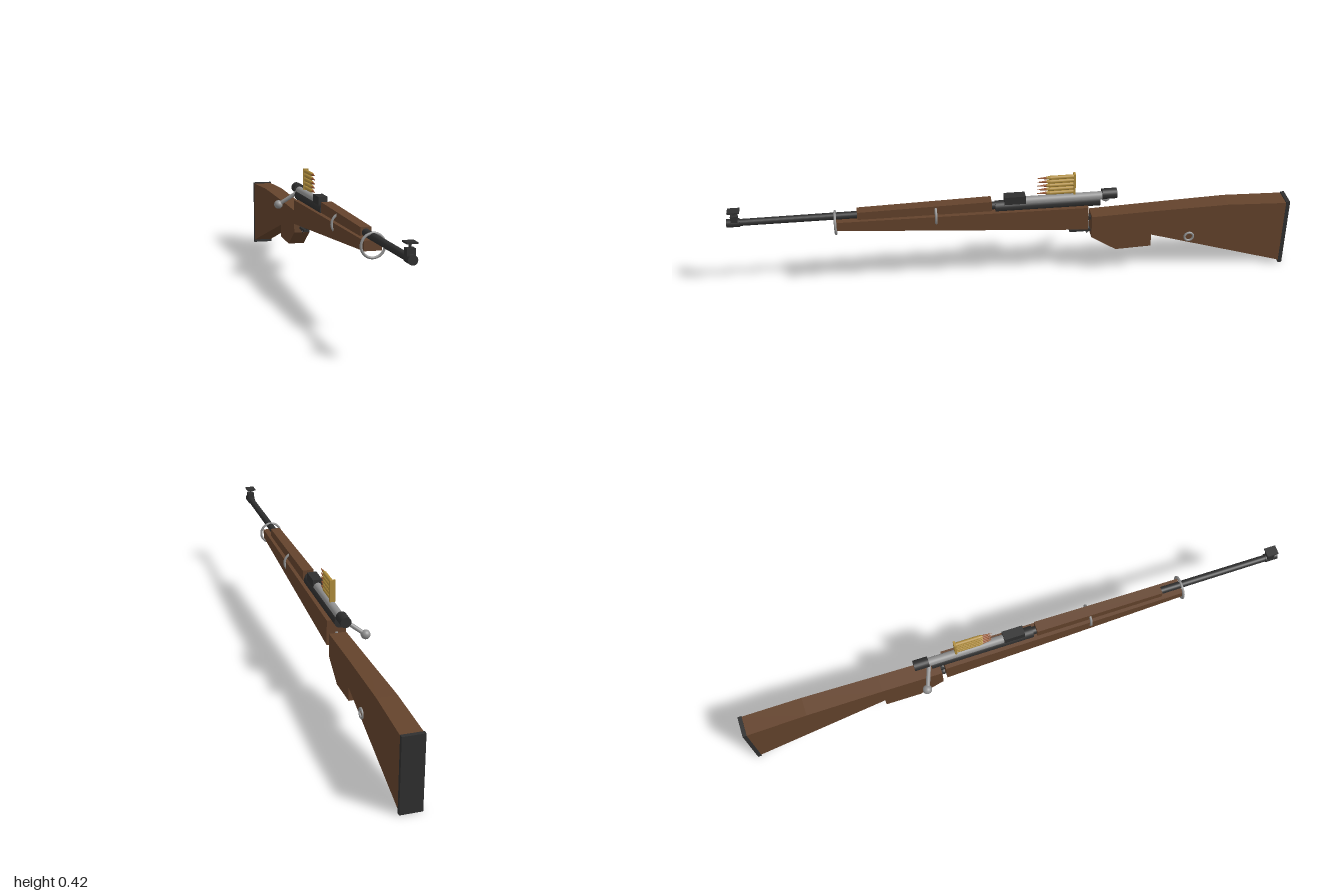
import * as THREE from 'three';

const CX = 0.023; // centre line of the whole body

export function createModel() {
  const model = new THREE.Group();
  model.name = 'boltActionRifle';

  const mat = (name, color) => {
    const m = new THREE.MeshStandardMaterial({ color });
    m.name = name;
    return m;
  };
  const wood = mat('walnut wood', 0x64432c);
  const dark = mat('blued metal', 0x2f2f2f);
  const steel = mat('bright steel', 0x929292);
  const brass = mat('brass', 0xb08d3c);
  const copper = mat('copper', 0x96552f);

  const add = (name, geometry, material, x, y, z, parent = model) => {
    const mesh = new THREE.Mesh(geometry, material);
    mesh.name = name;
    mesh.position.set(x, y, z);
    parent.add(mesh);
    return mesh;
  };
  const box = (name, material, w, h, d, y, z, x = CX) =>
    add(name, new THREE.BoxGeometry(w, h, d), material, x, y, z);
  // Cylinder lying along z, from z0 (front) to z1 (back)
  const tube = (name, material, r0, r1, z0, z1, y, parent = model, sides = 24) =>
    add(name, new THREE.CylinderGeometry(r0, r1, z0 - z1, sides).rotateX(Math.PI / 2),
      material, CX, y, (z0 + z1) / 2, parent);
  // Side outline of [z, y] points, extruded across x with a width tapering along z
  const slab = (name, outline, frontWidth, backWidth) => {
    const zs = outline.map((p) => p[0]);
    const zf = Math.max(...zs), zb = Math.min(...zs);
    const shape = new THREE.Shape(outline.map(([z, y]) => new THREE.Vector2(-z, y)));
    const g = new THREE.ExtrudeGeometry(shape, { depth: 1, bevelEnabled: false });
    g.translate(0, 0, -0.5).rotateY(Math.PI / 2);
    const p = g.attributes.position;
    for (let i = 0; i < p.count; i++) {
      const t = (zf - p.getZ(i)) / (zf - zb);
      p.setX(i, p.getX(i) * THREE.MathUtils.lerp(frontWidth, backWidth, t));
    }
    g.computeVertexNormals();
    return add(name, g, wood, CX, 0, 0);
  };
  const rod = (name, material, a, b, r) => {
    const from = new THREE.Vector3(...a), dir = new THREE.Vector3(...b).sub(from);
    const mesh = add(name, new THREE.CylinderGeometry(r, r, dir.length(), 16), material, 0, 0, 0);
    mesh.position.copy(from).addScaledVector(dir, 0.5);
    mesh.quaternion.setFromUnitVectors(new THREE.Vector3(0, 1, 0), dir.normalize());
    return mesh;
  };

  // Wooden furniture
  slab('forestock', [[0.63, 0.267], [0.63, 0.3], [-0.26, 0.295], [-0.26, 0.203]], 0.058, 0.068);
  slab('handguard', [[0.553, 0.3], [0.553, 0.329], [0.083, 0.338], [0.083, 0.3]], 0.036, 0.04);
  slab('grip', [[-0.275, 0.166], [-0.275, 0.252], [-0.495, 0.26], [-0.495, 0.112], [-0.366, 0.107]],
    0.06, 0.062);
  slab('buttstock', [[-0.495, 0.16], [-0.495, 0.26], [-0.77, 0.268], [-0.988, 0.26], [-0.988, 0.01]],
    0.062, 0.073);
  box('buttPlate', dark, 0.075, 0.264, 0.014, 0.132, -0.993);

  // Barrel and front sight
  tube('barrel', dark, 0.012, 0.014, 0.99, 0, 0.311);
  tube('muzzle', dark, 0.015, 0.015, 1, 0.955, 0.311);
  box('frontSightBase', dark, 0.026, 0.028, 0.024, 0.328, 0.972);
  box('frontSightPost', dark, 0.006, 0.018, 0.006, 0.349, 0.972);
  box('frontSightPlate', dark, 0.034, 0.005, 0.042, 0.358, 0.972);

  // Receiver, rear sight and bolt
  tube('receiver', dark, 0.021, 0.021, 0.07, -0.305, 0.306);
  box('rearSight', dark, 0.034, 0.03, 0.075, 0.334, 0);
  tube('bolt', steel, 0.015, 0.015, -0.03, -0.315, 0.323);
  tube('boltShroud', dark, 0.019, 0.019, -0.312, -0.365, 0.329);
  rod('boltHandle', steel, [0.018, 0.318, -0.312], [-0.053, 0.267, -0.342], 0.0075);
  add('boltKnob', new THREE.SphereGeometry(0.0165, 24, 16), steel, -0.053, 0.267, -0.343);

  // Bands around the forestock and the sling ring on the left of the stock
  add('frontBand', new THREE.TorusGeometry(0.039, 0.0045, 12, 32), steel, CX, 0.284, 0.63);
  add('middleBand', new THREE.TorusGeometry(0.036, 0.0045, 12, 32), steel, CX, 0.293, 0.28);
  add('slingRing', new THREE.TorusGeometry(0.016, 0.004, 10, 24).rotateY(Math.PI / 2),
    steel, 0.058, 0.143, -0.635);

  // Trigger group
  box('floorPlate', dark, 0.036, 0.007, 0.13, 0.206, -0.19);
  box('triggerGuard', dark, 0.02, 0.008, 0.08, 0.185, -0.238);
  rod('triggerPin', steel, [CX, 0.172, -0.264], [CX, 0.25, -0.264], 0.005);
  box('tangLink', dark, 0.02, 0.012, 0.04, 0.235, -0.265);
  add('trigger', new THREE.ConeGeometry(0.009, 0.018, 6).rotateX(Math.PI), dark, CX, 0.173, -0.264);

  // Stripper clip with five rounds
  const clip = new THREE.Group();
  clip.name = 'cartridgeClip';
  model.add(clip);
  add('clipPlate', new THREE.BoxGeometry(0.02, 0.08, 0.007), brass, CX, 0.38, -0.212, clip);
  for (let i = 0; i < 5; i++) {
    const y = 0.348 + i * 0.0153;
    tube('cartridgeCase', brass, 0.0072, 0.0072, -0.125, -0.21, y, clip, 16);
    tube('cartridgeNeck', brass, 0.0048, 0.0072, -0.112, -0.125, y, clip, 16);
    tube('bulletTip', copper, 0.001, 0.0048, -0.08, -0.112, y, clip, 16);
  }

  return model;
}
